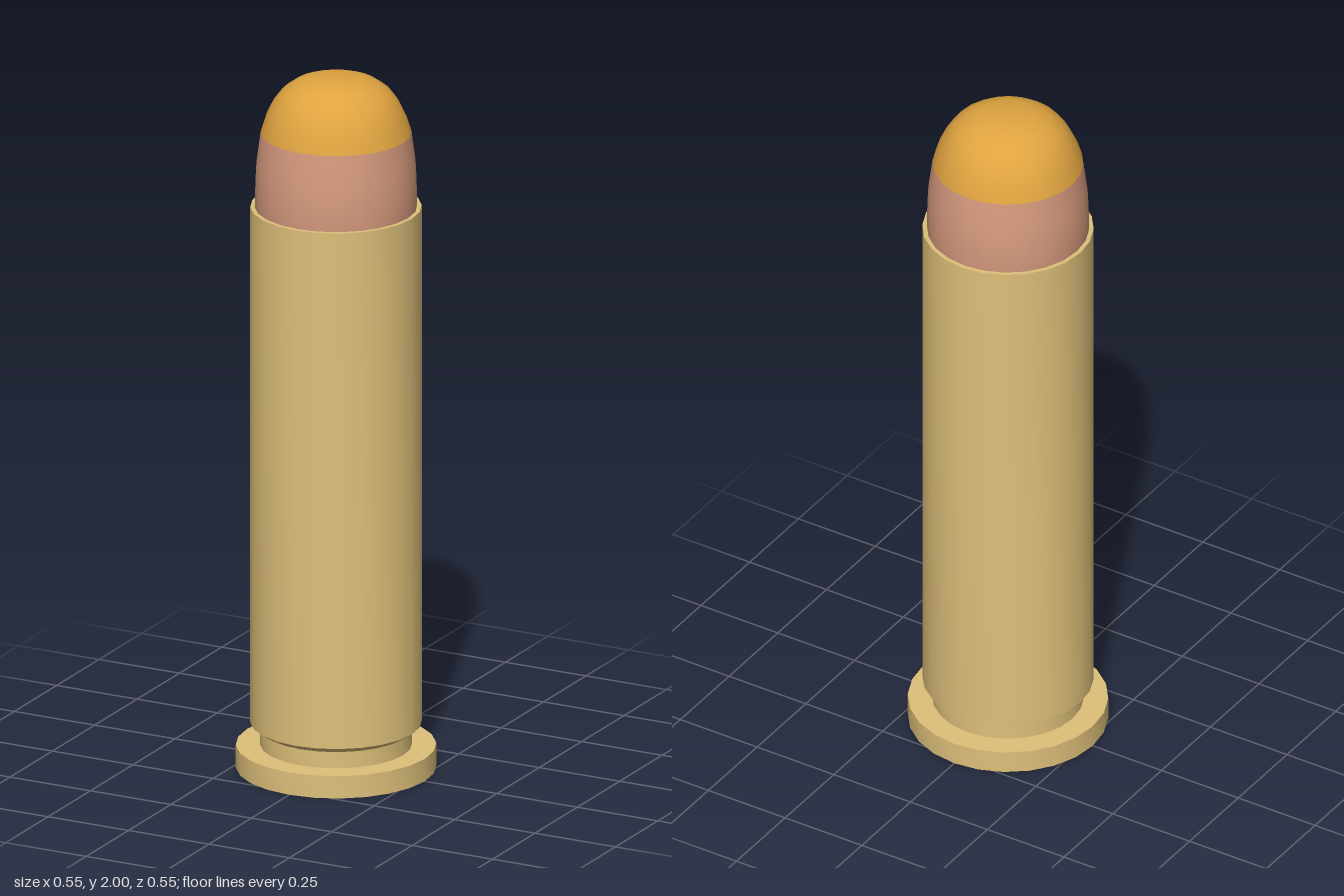
import * as THREE from 'three';
import { toCreasedNormals } from 'three/addons/utils/BufferGeometryUtils.js';

const SIDES = 24;

export function createModel() {
  const model = new THREE.Group();
  model.name = 'cartridge';

  const material = (name, color) => {
    const m = new THREE.MeshStandardMaterial({ color });
    m.name = name;
    return m;
  };
  const brass = material('brass', 0xdec07a);
  const copper = material('copper', 0xd69a7e);
  const amber = material('amber', 0xe0a440);

  // Turned part from [radius, height] pairs, listed from bottom to top
  const turned = (name, mat, profile) => {
    const points = profile.map(([r, y]) => new THREE.Vector2(r, y));
    const geometry = toCreasedNormals(new THREE.LatheGeometry(points, SIDES), 0.6);
    const mesh = new THREE.Mesh(geometry, mat);
    mesh.name = name;
    model.add(mesh);
  };

  // Flat base with its projecting rim
  turned('rim', brass, [[0, 0], [0.276, 0], [0.276, 0.065], [0.209, 0.065]]);

  // Groove, straight case wall and open mouth
  turned('case', brass, [
    [0.209, 0.065], [0.209, 0.112], [0.236, 0.13],
    [0.236, 1.628], [0.224, 1.628], [0.219, 1.6],
  ]);

  // Lower band of the nose
  turned('jacket', copper, [
    [0.219, 1.6], [0.223, 1.64], [0.222, 1.7], [0.219, 1.76], [0.208, 1.843],
  ]);

  // Rounded nose with a small flat top
  turned('tip', amber, [
    [0.208, 1.843], [0.195, 1.885], [0.176, 1.925], [0.15, 1.96],
    [0.115, 1.985], [0.075, 1.999], [0, 2],
  ]);

  return model;
}
